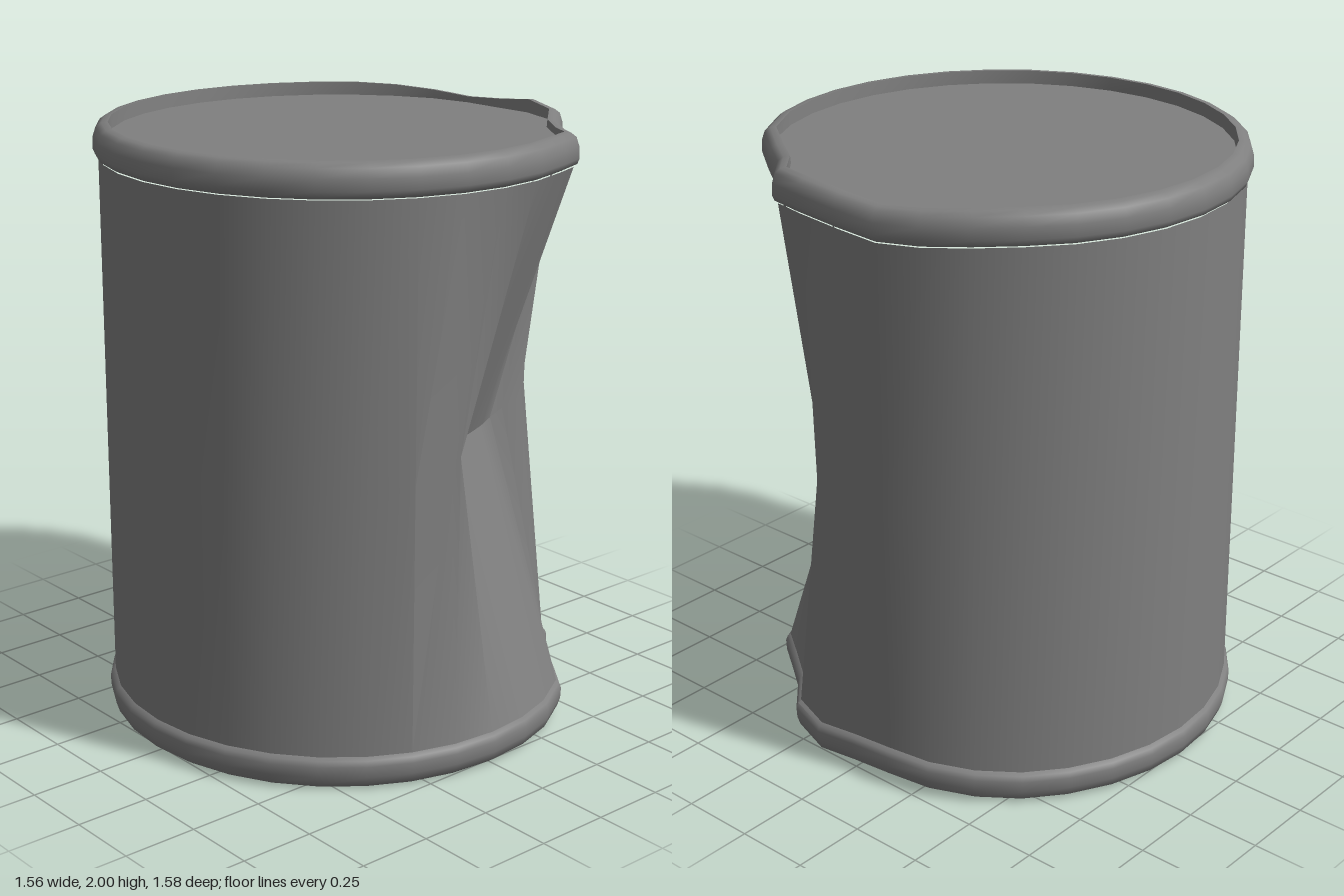
import * as THREE from 'three';
import { toCreasedNormals } from 'three/addons/utils/BufferGeometryUtils.js';

const SEGMENTS = 32;
const HEIGHT = 2;

// Dents by segment number: 0 lies on +x, positive numbers turn towards the front.
const rimPush = { '-1': 0.01, 0: 0.02, 3: 0.05, 4: 0.04 };
const rimSag = { '-3': 0.005, '-2': 0.015, '-1': 0.025, 0: 0.015, 2: 0.01, 3: 0.02, 4: 0.022, 5: 0.01 };
const waistRadius = { 1: 0.75, 2: 0.66, 3: 0.56, 4: 0.51, 5: 0.49, 6: 0.48, 7: 0.48, 8: 0.6, 9: 0.72 };

const signed = (k) => (k > SEGMENTS / 2 ? k - SEGMENTS : k);

// One closed ring of points; radiusAt and heightAt depend on the segment number.
function ring(radiusAt, heightAt) {
  return Array.from({ length: SEGMENTS }, (_, k) => {
    const a = (k / SEGMENTS) * Math.PI * 2;
    const r = radiusAt(signed(k));
    return new THREE.Vector3(r * Math.cos(a), heightAt(signed(k)), r * Math.sin(a));
  });
}

// Skin the rings in order, leaving out collapsed triangles at a centre.
function loft(rings, crease) {
  const points = [];
  const triangle = (a, b, c) => {
    if (a.distanceTo(b) < 1e-6 || b.distanceTo(c) < 1e-6 || c.distanceTo(a) < 1e-6) return;
    for (const p of [a, b, c]) points.push(p.x, p.y, p.z);
  };
  for (let i = 0; i < rings.length - 1; i++) {
    const low = rings[i], high = rings[i + 1];
    for (let k = 0; k < SEGMENTS; k++) {
      const n = (k + 1) % SEGMENTS;
      triangle(low[k], high[k], low[n]);
      triangle(low[n], high[k], high[n]);
    }
  }
  const geometry = new THREE.BufferGeometry();
  geometry.setAttribute('position', new THREE.Float32BufferAttribute(points, 3));
  return toCreasedNormals(geometry, crease);
}

// A ring that follows the bent rim; top and bottom bend towards the middle.
function rimRing(r, y, isTop) {
  return ring(
    (k) => r - (rimPush[k] || 0),
    (k) => {
      const h = y - (rimSag[k] || 0);
      return isTop ? h : HEIGHT - h;
    }
  );
}

// Recessed end disc
function lidRings(r, y, isTop) {
  const h = isTop ? y : HEIGHT - y;
  const edge = ring((k) => r - (rimPush[k] || 0), () => h);
  const centre = ring(() => 0, () => h);
  return isTop ? [edge, centre] : [centre, edge];
}

export function createModel() {
  const model = new THREE.Group();
  model.name = 'dentedCan';
  const metal = new THREE.MeshStandardMaterial({ color: 0x808080 });
  metal.name = 'grey metal';

  const add = (name, geometry) => {
    const mesh = new THREE.Mesh(geometry, metal);
    mesh.name = name;
    model.add(mesh);
  };

  // Wall, pushed in at mid height with a sharp horizontal crease
  add('canWall', loft([
    rimRing(0.77, 1.89, false),
    ring((k) => waistRadius[k] || 0.77, () => 1),
    rimRing(0.77, 1.89, true),
  ], 0.5));

  // Rolled rims and recessed lids
  const profile = [
    [0.765, 1.892], [0.781, 1.9], [0.788, 1.918], [0.786, 1.955],
    [0.776, 1.985], [0.758, 1.998], [0.737, 2.0],
  ];
  for (const isTop of [true, false]) {
    const side = isTop ? 'top' : 'bottom';
    const rings = profile.map(([r, y]) => rimRing(r, y, isTop));
    rings.push(ring((k) => 0.735 - (rimPush[k] || 0), () => (isTop ? 1.955 : 0.045)));
    if (!isTop) rings.reverse();
    add(side + 'Rim', loft(rings, 0.8));
    add(side + 'Lid', loft(lidRings(0.735, 1.955, isTop), 0.5));
  }
  return model;
}
